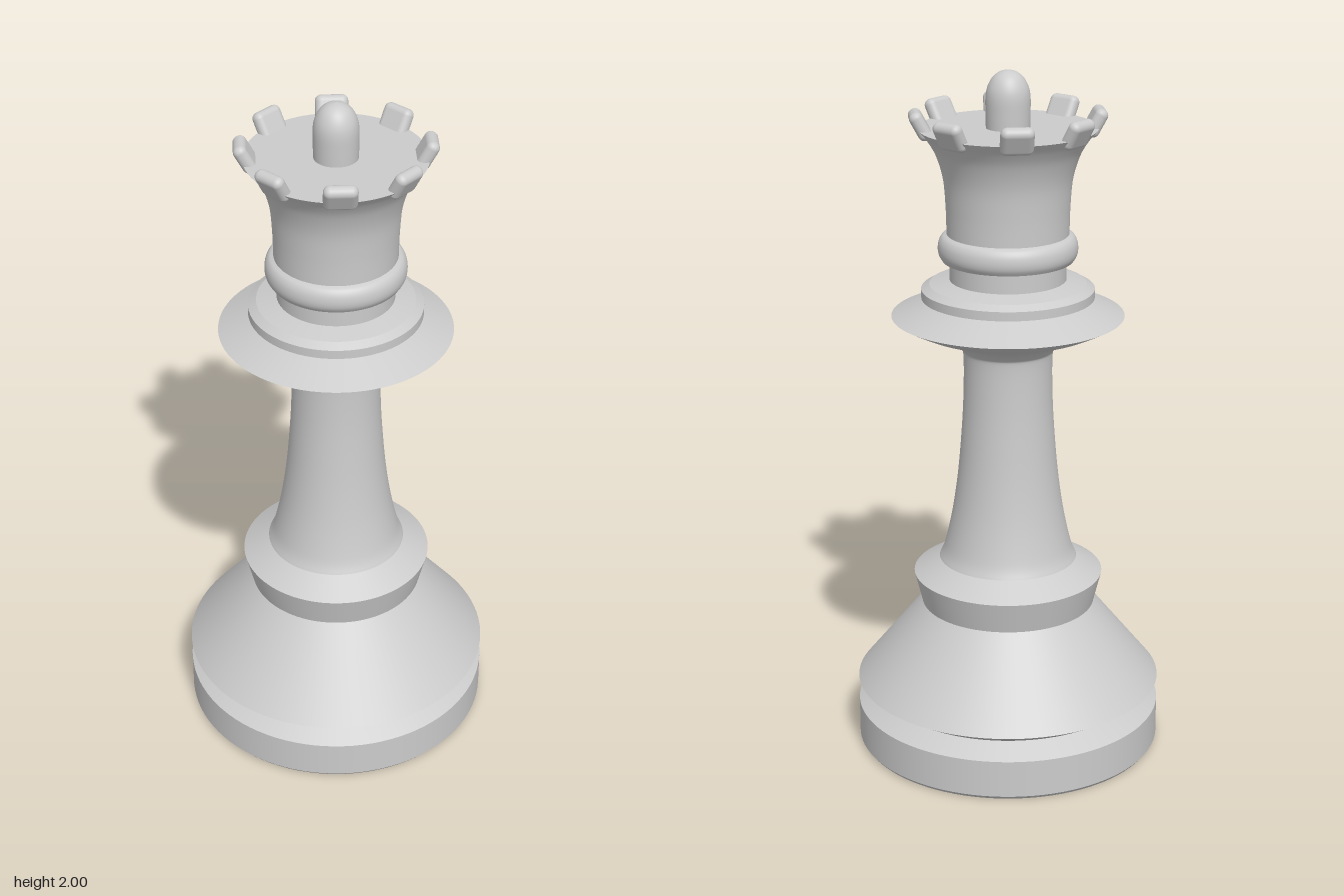
import * as THREE from 'three';
import { RoundedBoxGeometry } from 'three/addons/geometries/RoundedBoxGeometry.js';

const material = new THREE.MeshStandardMaterial({ color: 0xcccccc });
const SEGMENTS = 96;

const toPoints = (pairs) => pairs.map(([r, y]) => new THREE.Vector2(r, y));

function addLathe(group, name, points) {
  const mesh = new THREE.Mesh(new THREE.LatheGeometry(points, SEGMENTS), material);
  mesh.name = name;
  group.add(mesh);
}

// Smoothly curved section, swept through the given [radius, height] pairs.
function addCurved(group, name, pairs, steps = 24) {
  addLathe(group, name, new THREE.SplineCurve(toPoints(pairs)).getPoints(steps));
}

// Straight bands with a sharp edge at every point.
function addFaceted(parent, name, pairs) {
  const group = new THREE.Group();
  group.name = name;
  const points = toPoints(pairs);
  for (let i = 0; i < points.length - 1; i++) {
    addLathe(group, `${name}Band${i + 1}`, [points[i], points[i + 1]]);
  }
  parent.add(group);
}

export function createModel() {
  const model = new THREE.Group();
  model.name = 'chessQueen';

  // Plinth, groove, sloping skirt and its flared shoulder
  addFaceted(model, 'base', [
    [0, 0], [0.437, 0], [0.445, 0.01], [0.445, 0.12], [0.385, 0.156],
    [0.445, 0.193], [0.252, 0.432], [0.275, 0.525], [0.2, 0.57],
  ]);

  // Tapering stem, sweeping out under the flange
  addCurved(model, 'stem', [
    [0.2, 0.57], [0.184, 0.61], [0.162, 0.71], [0.146, 0.82], [0.135, 0.94],
    [0.128, 1.06], [0.127, 1.18], [0.137, 1.21], [0.18, 1.242], [0.26, 1.27], [0.33, 1.305],
  ], 60);

  // Wide flange and stepped collar
  addFaceted(model, 'collar', [
    [0.33, 1.305], [0.225, 1.352], [0.245, 1.357], [0.245, 1.383],
    [0.222, 1.397], [0.165, 1.41], [0.165, 1.467], [0.185, 1.467],
  ]);

  // Rounded bead around the neck
  addCurved(model, 'neckRing', [
    [0.185, 1.467], [0.194, 1.482], [0.197, 1.5], [0.194, 1.52], [0.185, 1.535], [0.172, 1.542],
  ]);

  // Flaring crown with a flat top
  addCurved(model, 'crown', [
    [0.172, 1.542], [0.174, 1.62], [0.181, 1.7], [0.2, 1.765], [0.224, 1.808], [0.25, 1.84],
  ], 32);
  addFaceted(model, 'crownTop', [[0.25, 1.84], [0, 1.84]]);

  // Eight rounded teeth leaning outwards from the rim
  const toothGeometry = new RoundedBoxGeometry(0.092, 0.085, 0.038, 5, 0.018);
  toothGeometry.rotateX(0.5);
  toothGeometry.translate(0, 1.853, 0.243);
  const teeth = new THREE.Group();
  teeth.name = 'crownTeeth';
  for (let i = 0; i < 8; i++) {
    const tooth = new THREE.Mesh(toothGeometry, material);
    tooth.name = `tooth${i + 1}`;
    tooth.rotation.y = (i * Math.PI) / 4;
    teeth.add(tooth);
  }
  model.add(teeth);

  // Bullet-shaped finial
  addCurved(model, 'finial', [
    [0.061, 1.835], [0.062, 1.88], [0.062, 1.925], [0.056, 1.955],
    [0.042, 1.98], [0.022, 1.995], [0, 2],
  ], 30);

  return model;
}
